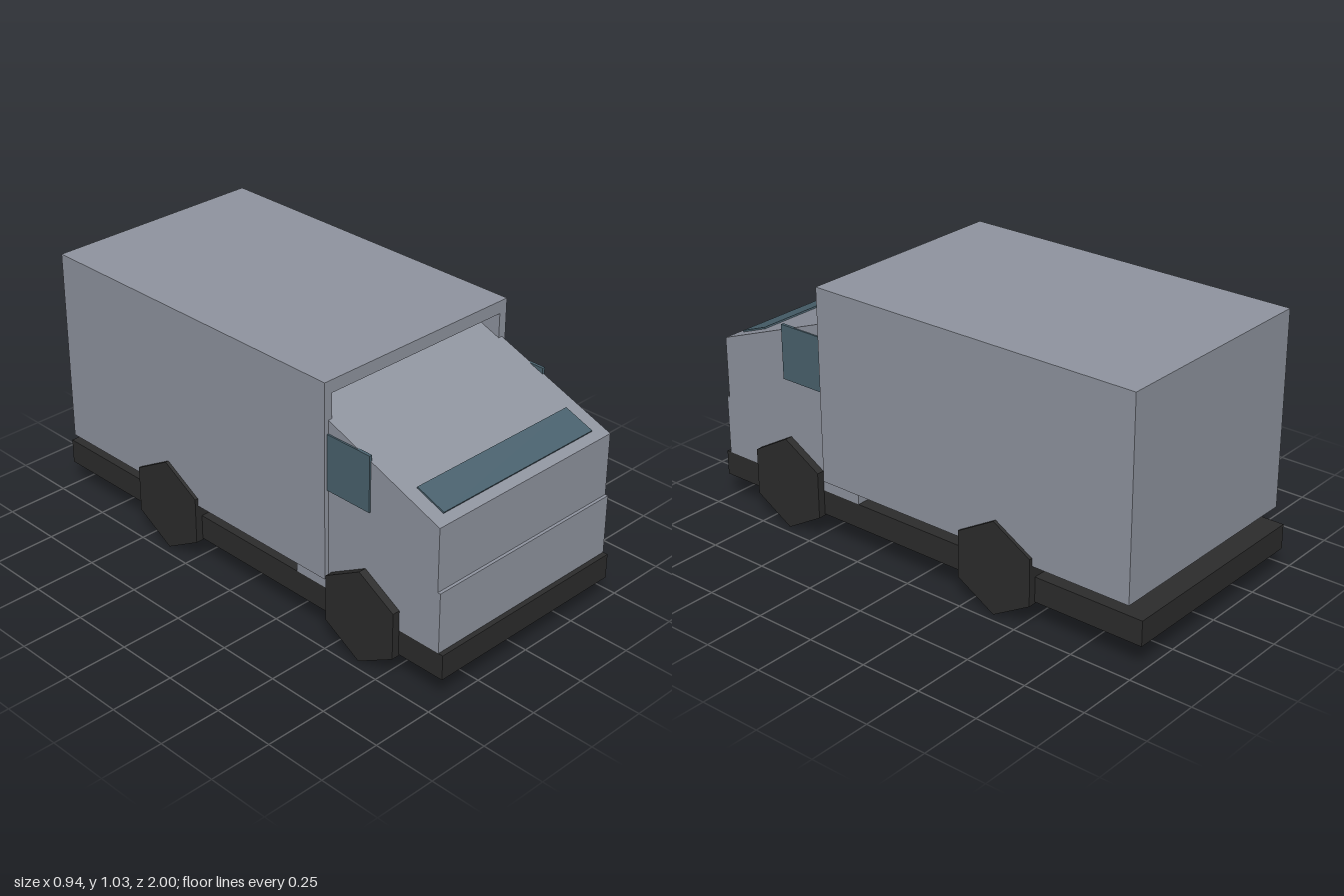
import * as THREE from 'three';

const paint = (color, side = THREE.FrontSide) =>
  new THREE.MeshStandardMaterial({ color, flatShading: true, side });

export function createModel() {
  const truck = new THREE.Group();
  truck.name = 'boxTruck';
  const body = paint(0x9095a0);
  const dark = paint(0x2c2c2c);
  const glass = paint(0x4a626e);

  const add = (name, geometry, material, x = 0, y = 0, z = 0) => {
    const mesh = new THREE.Mesh(geometry, material);
    mesh.name = name;
    mesh.position.set(x, y, z);
    truck.add(mesh);
    return mesh;
  };
  const extrude = (points, depth) => new THREE.ExtrudeGeometry(
    new THREE.Shape(points.map(([x, y]) => new THREE.Vector2(x, y))),
    { depth, bevelEnabled: false });

  // Flat chassis slab
  add('chassis', new THREE.BoxGeometry(0.875, 0.1, 2), dark, 0, 0.15, 0);

  // Cab: side profile (z, y) extruded across the width
  const cab = extrude([
    [0.295, 0.2], [0.98, 0.2], [0.98, 0.44], [0.968, 0.44], [0.968, 0.69], [0.295, 0.942],
  ], 0.875);
  cab.rotateY(-Math.PI / 2).translate(0.4375, 0, 0);
  add('cab', cab, body);

  // Cargo shell: side walls and roof as an arch, open towards the cab
  const shell = extrude([
    [-0.455, 0.25], [-0.42, 0.25], [-0.42, 0.98], [0.42, 0.98],
    [0.42, 0.25], [0.455, 0.25], [0.455, 1.03], [-0.455, 1.03],
  ], 1.41);
  add('cargoShell', shell, body, 0, 0, -0.955);
  add('cargoRearWall', new THREE.BoxGeometry(0.84, 0.73, 0.035), body, 0, 0.615, -0.9375);

  // Windscreen strip lying on the sloped cab front
  const slope = Math.atan2(0.942 - 0.69, 0.968 - 0.295);
  const windscreen = add('windscreen', new THREE.BoxGeometry(0.76, 0.01, 0.128), glass, 0, 0.728, 0.87);
  windscreen.rotation.x = slope;

  for (const [side, s] of [['left', 1], ['right', -1]]) {
    // Door window
    add(side + 'Window', new THREE.BoxGeometry(0.012, 0.22, 0.22), glass, s * 0.438, 0.72, 0.545);
    // Six-sided wheels, one corner pointing down
    for (const [end, z] of [['Front', 0.635], ['Rear', -0.38]]) {
      const wheel = new THREE.CylinderGeometry(0.1875, 0.1875, 0.123, 6);
      wheel.rotateY(Math.PI / 2).rotateZ(Math.PI / 2);
      add(side + end + 'Wheel', wheel, dark, s * 0.4065, 0.1875, z);
    }
  }
  return truck;
}
